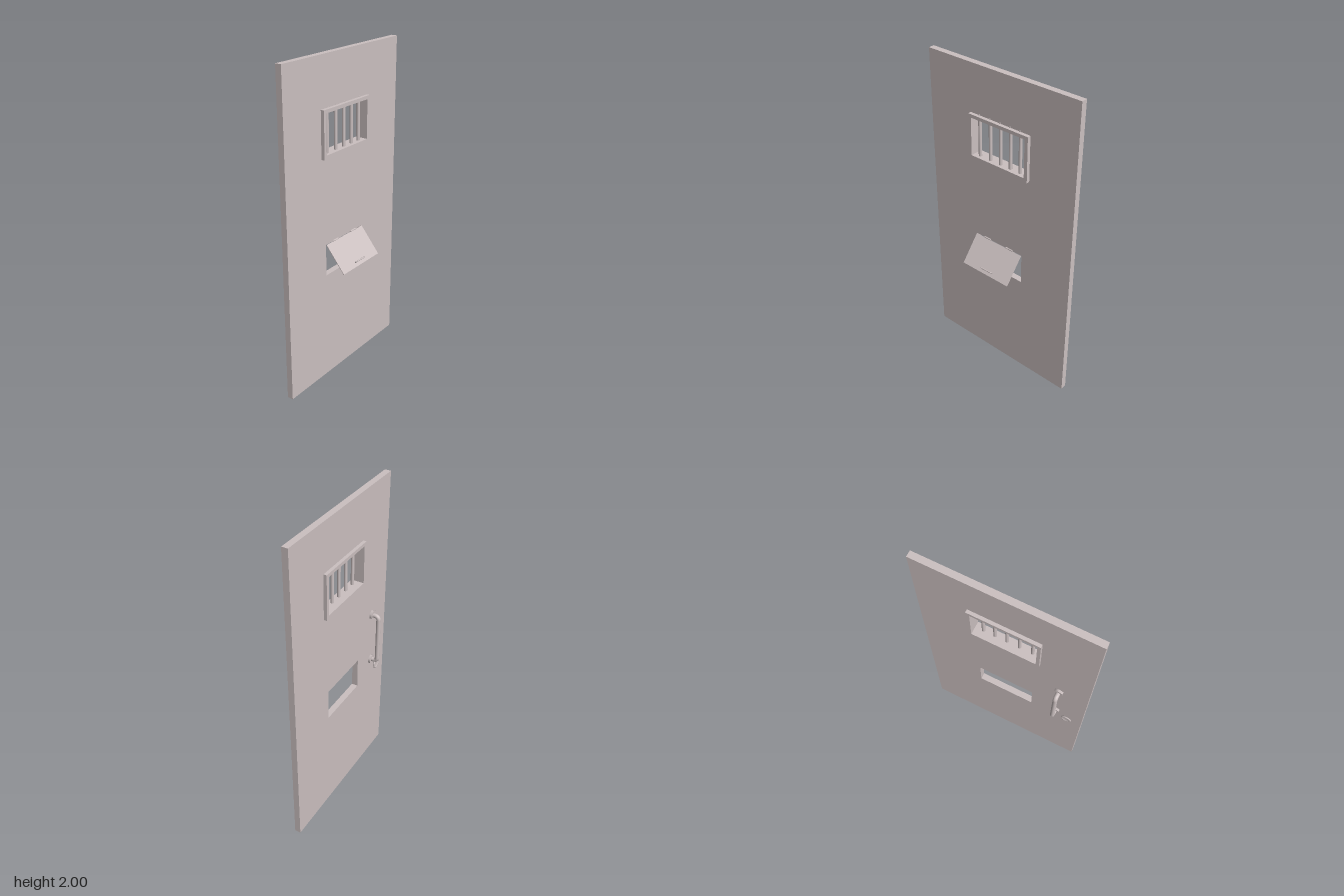
import * as THREE from 'three';

const material = new THREE.MeshStandardMaterial({ color: 0xcbc0c0, side: THREE.DoubleSide });
const BACK = -0.053, FRONT = -0.015; // door faces in z

function rectPath(x0, x1, y0, y1, Type = THREE.Path) {
  const p = new Type();
  p.moveTo(x0, y0).lineTo(x1, y0).lineTo(x1, y1).lineTo(x0, y1).closePath();
  return p;
}

function part(name, geometry, parent, x = 0, y = 0, z = 0) {
  const mesh = new THREE.Mesh(geometry, material);
  mesh.name = name;
  mesh.position.set(x, y, z);
  parent.add(mesh);
  return mesh;
}

// Rectangular plate with rectangular holes, from z0 to z1
function plate(name, outer, holes, z0, z1, parent) {
  const shape = rectPath(...outer, THREE.Shape);
  shape.holes = holes.map(h => rectPath(...h));
  return part(name, new THREE.ExtrudeGeometry(shape, { depth: z1 - z0, bevelEnabled: false }), parent, 0, 0, z0);
}

// Round-cornered U-shaped pull: legs along +z, grip along y
function pullGeometry(length, reach, bend, radius, sides) {
  const h = length / 2, v = (y, z) => new THREE.Vector3(0, y, z);
  const path = new THREE.CurvePath();
  path.add(new THREE.LineCurve3(v(-h, 0), v(-h, reach - bend)));
  path.add(new THREE.QuadraticBezierCurve3(v(-h, reach - bend), v(-h, reach), v(-h + bend, reach)));
  path.add(new THREE.LineCurve3(v(-h + bend, reach), v(h - bend, reach)));
  path.add(new THREE.QuadraticBezierCurve3(v(h - bend, reach), v(h, reach), v(h, reach - bend)));
  path.add(new THREE.LineCurve3(v(h, reach - bend), v(h, 0)));
  return new THREE.TubeGeometry(path, 120, radius, sides);
}

export function createModel() {
  const model = new THREE.Group();
  model.name = 'cellDoor';

  // Door leaf with window and hatch openings
  plate('doorLeaf', [-0.523, 0.523, 0, 2],
    [[-0.21, 0.208, 1.425, 1.7], [-0.183, 0.17, 0.69, 0.89]], BACK, FRONT, model);

  // Barred window
  const barredWindow = new THREE.Group();
  barredWindow.name = 'barredWindow';
  model.add(barredWindow);
  plate('windowFrame', [-0.215, 0.213, 1.422, 1.705], [[-0.195, 0.191, 1.446, 1.684]], -0.073, 0.007, barredWindow);
  for (const x of [-0.153, -0.075, 0, 0.072, 0.142])
    part('windowBar', new THREE.CylinderGeometry(0.01, 0.01, 0.296, 16), barredWindow, x, 1.563, -0.022);

  // Hatch flap, hinged at the top and swung open
  const hatch = new THREE.Group();
  hatch.name = 'hatch';
  hatch.position.set(-0.007, 0.89, -0.012);
  hatch.rotation.x = -0.68;
  model.add(hatch);
  part('hatchFlap', new THREE.BoxGeometry(0.352, 0.2, 0.004), hatch, 0, -0.1, 0);
  const pull = part('hatchPull', pullGeometry(0.084, 0.014, 0.007, 0.004, 8), hatch, 0.002, -0.174, 0);
  pull.rotation.z = Math.PI / 2;

  // Hinge barrels above the flap
  for (const x of [-0.094, 0.076]) {
    const hinge = part('hatchHinge', new THREE.CylinderGeometry(0.005, 0.005, 0.05, 12), model, x, 0.893, -0.013);
    hinge.rotation.z = Math.PI / 2;
  }

  // Pull handle on the back, on hexagonal mounts
  const handle = new THREE.Group();
  handle.name = 'doorHandle';
  handle.position.set(-0.346, 0.97, BACK);
  handle.rotation.y = Math.PI;
  model.add(handle);
  part('handleGrip', pullGeometry(0.334, 0.05, 0.025, 0.014, 16), handle);
  for (const side of [-1, 1]) {
    const mount = part('handleMount', new THREE.CylinderGeometry(0.03, 0.03, 0.015, 6).toNonIndexed(), handle, 0, side * 0.17, 0.0075);
    mount.rotation.x = Math.PI / 2;
  }

  // Round lock plate with a raised rim and shallow dished face
  const profile = [[0, 0], [0.03, 0], [0.035, 0.004], [0.035, 0.006], [0.03, 0.01], [0.026, 0.01], [0.023, 0.006], [0, 0.006]]
    .map(([r, h]) => new THREE.Vector2(r, h));
  const lock = part('lockPlate', new THREE.LatheGeometry(profile, 32), model, -0.425, 0.713, BACK);
  lock.rotation.x = -Math.PI / 2;

  return model;
}
